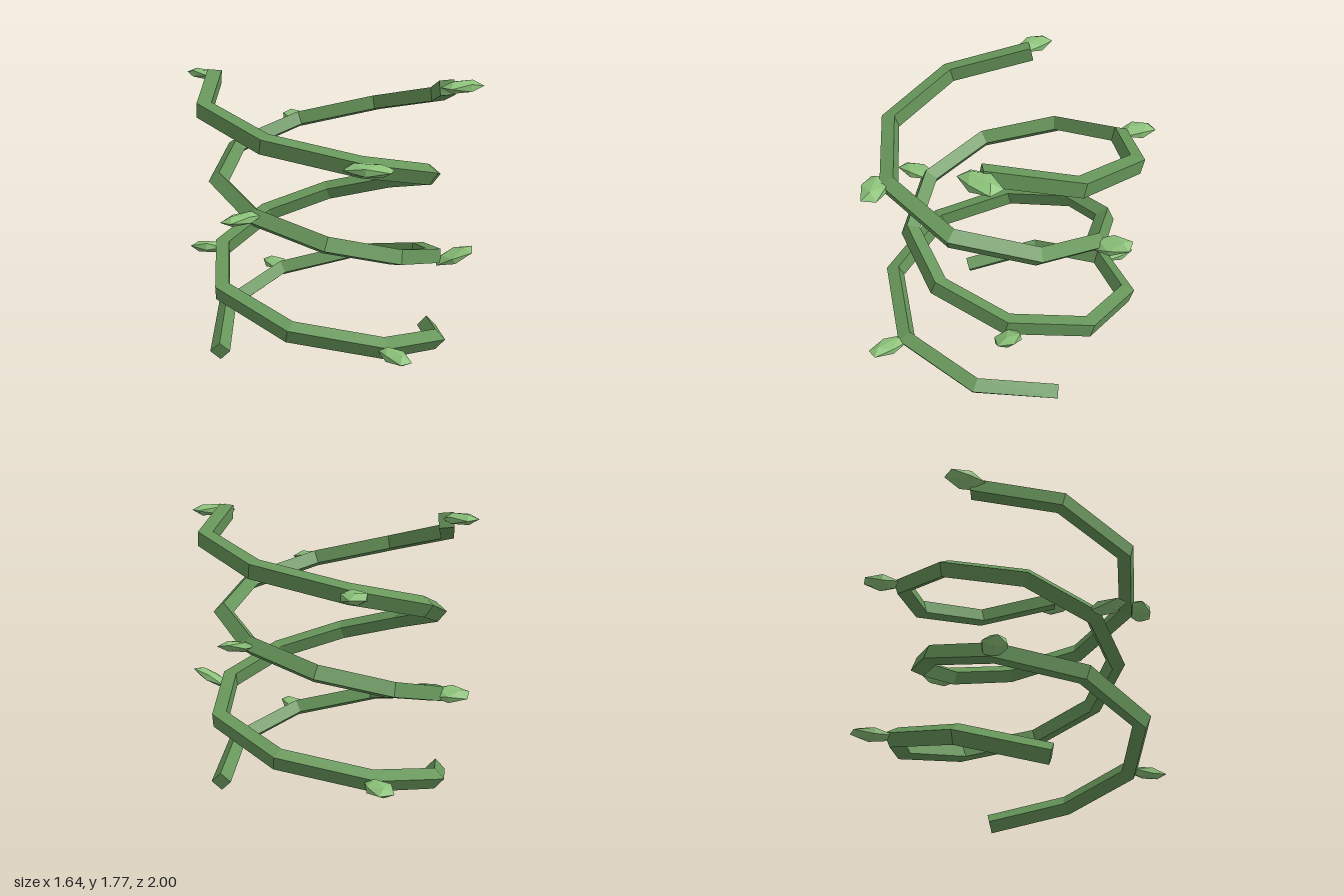
import * as THREE from 'three';

const STEPS = 14, TURNS = 1.6, HEIGHT = 1.66, BASE = 0.063, CENTRE_X = -0.012;
// Coil radius at each bend, bottom to top
const RADII = [0.7, 0.73, 0.76, 0.76, 0.735, 0.67, 0.625, 0.61, 0.62, 0.66, 0.705, 0.74, 0.76, 0.76, 0.735];

const stemMaterial = new THREE.MeshStandardMaterial({ color: 0x67965a, flatShading: true, side: THREE.DoubleSide });
const leafMaterial = new THREE.MeshStandardMaterial({ color: 0x8cc27a, flatShading: true });

// Square-section tube wound along a rising coil, closed at both ends
function makeVine(startAngle) {
  const points = RADII.map((r, i) => {
    const a = startAngle + (i / STEPS) * TURNS * Math.PI * 2;
    return new THREE.Vector3(CENTRE_X + Math.cos(a) * r, BASE + (i / STEPS) * HEIGHT, Math.sin(a) * r);
  });
  const curve = new THREE.CatmullRomCurve3(points);
  // keep the tube rings exactly on the bends
  curve.getPointAt = (t, target) => curve.getPoint(t, target);
  curve.getTangentAt = (t, target) => curve.getTangent(t, target);

  const tube = new THREE.TubeGeometry(curve, STEPS, 0.062, 4, false);
  const e = STEPS * 5;
  tube.setIndex([...tube.index.array, 0, 1, 2, 0, 2, 3, e, e + 2, e + 1, e, e + 3, e + 2]);
  return new THREE.Mesh(tube, stemMaterial);
}

// Flattened faceted leaf pointing along a heading (degrees from +x towards +z)
function makeLeaf([x, y, z, heading, lift, roll, length, width, thick]) {
  const geometry = new THREE.IcosahedronGeometry(1, 0);
  geometry.scale(length, thick, width);
  const leaf = new THREE.Mesh(geometry, leafMaterial);
  leaf.position.set(x, y, z);
  leaf.rotation.order = 'YZX';
  leaf.rotation.set(roll, -THREE.MathUtils.degToRad(heading), lift);
  return leaf;
}

// x, y, z, heading, lift, roll, half length, half width, half thickness
const LEAVES = {
  first: [
    [0.11, 0.3, 0.88, 78, 0, 0, 0.14, 0.07, 0.035],
    [-0.7, 0.655, -0.31, 207, 0, 0.3, 0.13, 0.085, 0.04],
    [0.6, 1.02, -0.38, -42, 0.2, 0.2, 0.14, 0.08, 0.035],
    [-0.04, 1.37, 0.83, 32, 0, 0, 0.155, 0.085, 0.04],
    [-0.67, 1.735, -0.49, 250, 0, 0.1, 0.14, 0.08, 0.035],
  ],
  second: [
    [-0.125, 0.3, -0.88, 262, 0, 0, 0.135, 0.085, 0.035],
    [0.71, 0.66, 0.34, 30, 0.42, 0.2, 0.14, 0.09, 0.035],
    [-0.63, 1.025, 0.37, 150, 0, 0.1, 0.145, 0.085, 0.035],
    [0.02, 1.37, -0.87, -88, 0, 0, 0.125, 0.085, 0.04],
    [0.66, 1.73, 0.47, -18, 0, 0, 0.15, 0.09, 0.04],
  ],
};

export function createModel() {
  const model = new THREE.Group();
  model.name = 'twinVineCoil';
  Object.entries(LEAVES).forEach(([name, leaves], k) => {
    const strand = new THREE.Group();
    strand.name = name + 'Vine';
    const stem = makeVine(k * Math.PI);
    stem.name = name + 'Stem';
    strand.add(stem);
    leaves.forEach((spec, i) => {
      const leaf = makeLeaf(spec);
      leaf.name = `${name}Leaf${i + 1}`;
      strand.add(leaf);
    });
    model.add(strand);
  });
  return model;
}
